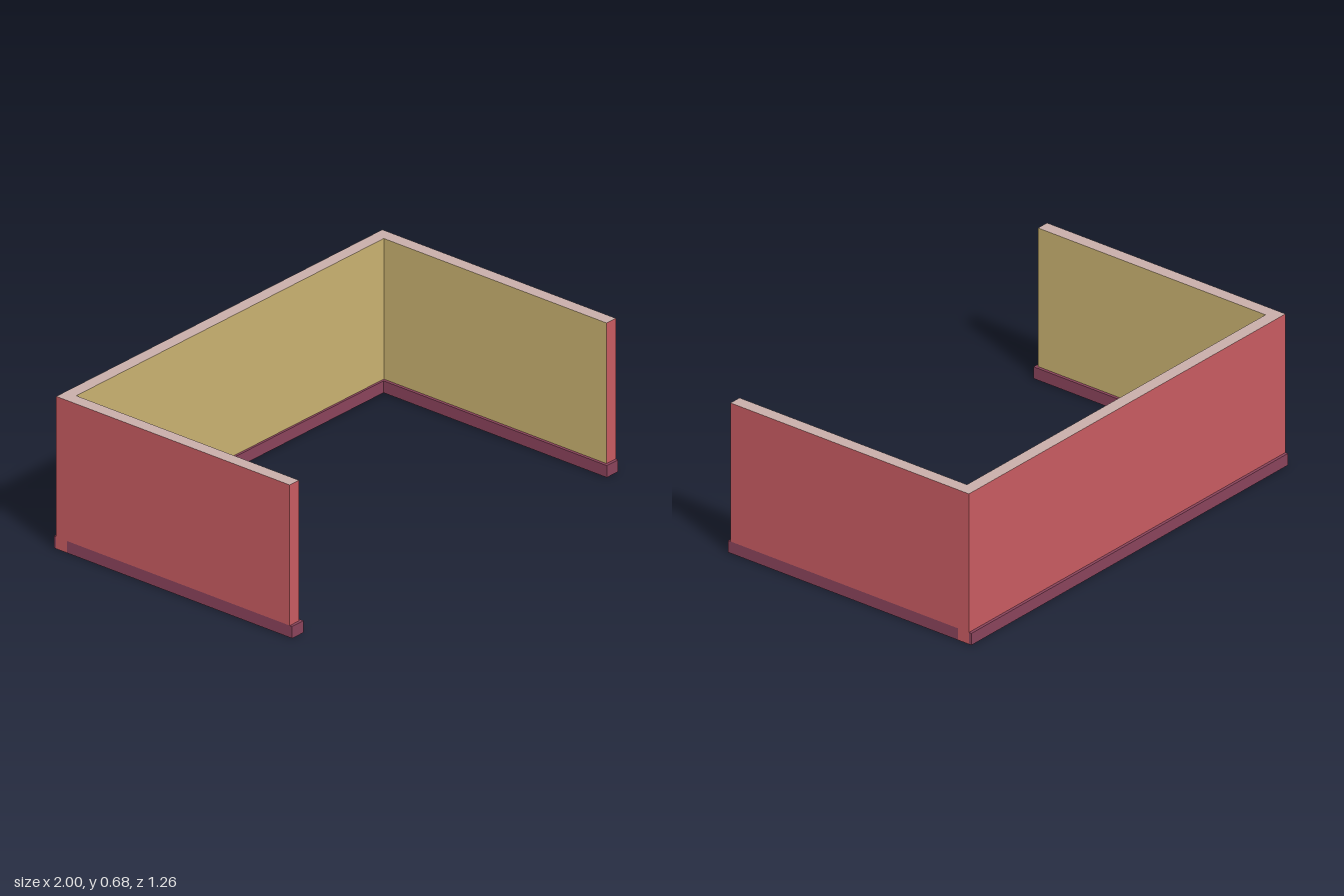
import * as THREE from 'three';

export function createModel() {
  const model = new THREE.Group();
  model.name = 'threeSidedWall';

  const mat = (name, color, side = THREE.FrontSide) => {
    const m = new THREE.MeshStandardMaterial({ color, side });
    m.name = name;
    return m;
  };
  const red = mat('outerRed', 0xc85b61);
  const tan = mat('innerTan', 0xc9b170);
  const cap = mat('topGreyPink', 0xc8aea9);
  const plum = mat('skirtingPlum', 0x8a435b, THREE.DoubleSide);

  const H = 0.68, SKIRT = 0.053;       // wall and skirting heights
  const IN_X = 0.943, SKIRT_X = 0.93;  // inner faces of side wall and its skirting
  const WALL_Z = 0.617, END_Z = 0.63;  // outer faces of wall and skirting
  const IN_Z = -0.56, SKIRT_Z = -0.55; // inner faces of back wall and its skirting

  // Box between two corners; materials run +x, -x, +y, -y, +z, -z
  function block(name, [x0, y0, z0], [x1, y1, z1], materials, openBottom = false) {
    const geo = new THREE.BoxGeometry(x1 - x0, y1 - y0, z1 - z0);
    geo.translate((x0 + x1) / 2, (y0 + y1) / 2, (z0 + z1) / 2);
    if (openBottom) geo.groups = geo.groups.filter((g) => g.materialIndex !== 3);
    const mesh = new THREE.Mesh(geo, materials);
    mesh.name = name;
    model.add(mesh);
  }
  const allPlum = Array(6).fill(plum);

  // Back wall reaches the ground, with a skirting strip on each face
  block('backWall', [-1, 0, -WALL_Z], [1, H, IN_Z], [red, red, cap, red, tan, red]);
  block('backOuterSkirting', [-1, 0, -END_Z], [1, SKIRT, -WALL_Z], allPlum);
  block('backInnerSkirting', [-SKIRT_X, 0, IN_Z], [SKIRT_X, SKIRT, SKIRT_Z], allPlum);

  // Side walls stand on hollow skirtings that are open underneath
  for (const [side, s] of [['left', 1], ['right', -1]]) {
    const span = (inner) => (s > 0 ? [inner, 1] : [-1, -inner]);
    const [w0, w1] = span(IN_X);
    const [k0, k1] = span(SKIRT_X);
    const faces = s > 0 ? [red, tan] : [tan, red];
    block(side + 'Wall', [w0, SKIRT, IN_Z], [w1, H, WALL_Z], [...faces, cap, red, red, red], true);
    block(side + 'Skirting', [k0, 0, IN_Z], [k1, SKIRT, END_Z], allPlum, true);
  }

  return model;
}
